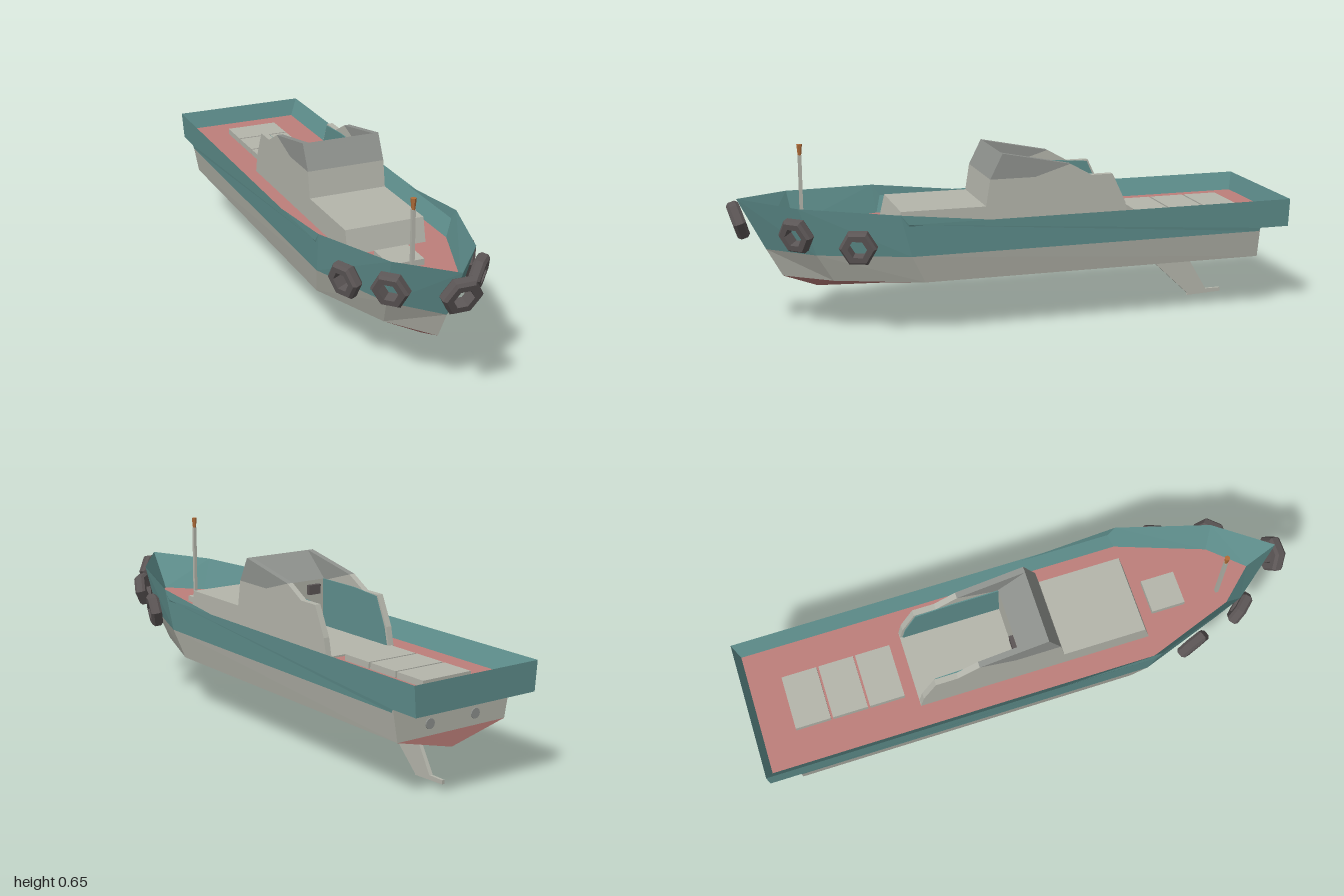
import * as THREE from 'three';

const mat = (name, color, extra = {}) => {
  const m = new THREE.MeshStandardMaterial({ color, flatShading: true, ...extra });
  m.name = name;
  return m;
};

export function createModel() {
  const boat = new THREE.Group();
  boat.name = 'boat';
  const both = { side: THREE.DoubleSide };
  const teal = mat('teal paint', 0x5f8f8d, both);
  const grey = mat('light grey paint', 0xb4b5ab, both);
  const red = mat('faded red paint', 0xbd7f7a, both);
  const glass = mat('window grey', 0x8f928e);
  const rubber = mat('dark rubber', 0x5c5656);
  const copper = mat('copper', 0xb06c38);

  const add = (name, geo, material, x = 0, y = 0, z = 0) => {
    const mesh = new THREE.Mesh(geo, material);
    mesh.name = name;
    mesh.position.set(x, y, z);
    boat.add(mesh);
    return mesh;
  };
  const box = (name, material, x0, x1, y0, y1, z0, z1) =>
    add(name, new THREE.BoxGeometry(x1 - x0, y1 - y0, z1 - z0), material,
      (x0 + x1) / 2, (y0 + y1) / 2, (z0 + z1) / 2);

  // side profile of [z, y] points, extruded from x0 to x1
  const profile = (name, material, pts, x0, x1) => {
    const shape = new THREE.Shape(pts.map(p => new THREE.Vector2(...p)));
    const geo = new THREE.ExtrudeGeometry(shape, { depth: x1 - x0, bevelEnabled: false });
    geo.rotateY(-Math.PI / 2).translate(x1, 0, 0);
    return add(name, geo, material);
  };

  // mirrored skin made of strips between pairs of lines on the +x half
  const skin = (name, material, strips) => {
    const pos = [];
    const tri = (a, b, c) => {
      pos.push(...a, ...b, ...c);
      for (const p of [a, c, b]) pos.push(-p[0], p[1], p[2]);
    };
    for (const [a, b] of strips) {
      for (let i = 0; i + 1 < a.length; i++) {
        tri(a[i], b[i], b[i + 1]);
        tri(a[i], b[i + 1], a[i + 1]);
      }
    }
    const geo = new THREE.BufferGeometry();
    geo.setAttribute('position', new THREE.Float32BufferAttribute(pos, 3));
    geo.computeVertexNormals();
    return add(name, geo, material);
  };
  const centre = line => line.map(p => [0, p[1], p[2]]);

  // hull lines from stern to stem
  const sheer = [[.255, .415, -1], [.255, .415, -.89], [.255, .415, .42],
    [.255, .45, .45], [.15, .47, .78], [0, .485, .97]];
  const belt = [[.247, .312, -1], [.247, .312, -.89], [.245, .3, -.885],
    [.245, .3, .41], [.135, .3, .72], [0, .3, .875]];
  const low = [[.245, .312, -.89], ...belt.slice(3)];
  const chine = [[.225, .2, -.89], [.225, .2, .36], [.115, .2, .66], [0, .2, .82]];
  const keel = [[0, .145, -.89], [0, .145, .46], [0, .155, .7], [0, .2, .82]];
  const deckY = .35;
  const deck = [[.225, deckY, -.98], [.225, deckY, -.89], [.225, deckY, .41],
    [.225, deckY, .44], [.11, deckY, .76], [0, deckY, .88]];

  const sternOut = [belt[0], sheer[0]];
  const sternIn = [deck[0], sheer[0]];
  const overhang = [belt[0], belt[1]];
  skin('bulwark', teal, [[belt, sheer], [sheer, deck], [sternOut, centre(sternOut)],
    [centre(sternIn), sternIn], [centre(overhang), overhang]]);
  const transom = [chine[0], low[0]];
  skin('hullSides', grey, [[chine, low], [transom, centre(transom)]]);
  const vee = [keel[0], chine[0]];
  skin('hullBottom', red, [[keel, chine], [vee, centre(vee)]]);
  skin('deck', red, [[deck, centre(deck)]]);

  // transom vents
  for (const x of [-.095, .095]) {
    const vent = add('transomVent', new THREE.CylinderGeometry(.018, .018, .006, 12), glass, x, .24, -.891);
    vent.rotation.x = Math.PI / 2;
  }

  // keel strut and foot
  profile('keelStrut', grey, [[-.56, .155], [-.72, .004], [-.79, .02], [-.71, .155]], -.011, .003);
  profile('strutFoot', grey, [[-.715, 0], [-.85, .006], [-.85, .02], [-.72, .02]], -.009, .001);

  // hatches
  for (let i = 0; i < 3; i++) {
    const z = -.86 + i * .136;
    box('aftHatch', grey, -.1, .1, deckY, .372, z, z + .128);
  }
  box('foreHatch', grey, -.07, .055, deckY, .372, .485, .61);

  // cabin with open cockpit
  const L = -.148, R = .143, t = .022;
  profile('cabinTrunk', grey, [[.445, deckY], [.425, .435], [.12, .435], [.105, .53],
    [-.04, .53], [-.04, deckY]], L, R);
  profile('windscreen', glass, [[.105, .53], [.06, .62], [-.04, .53]], L + t, R - t);
  box('cockpitFloor', grey, L, R, deckY, .356, -.415, -.04);
  for (const [x0, x1, inner] of [[L, L + t, L + t], [R - t, R, R - t - .004]]) {
    profile('cockpitWall', grey, [[-.04, deckY], [-.04, .53], [-.06, .53], [-.19, .57],
      [-.27, .525], [-.35, .525], [-.4, .42], [-.415, deckY]], x0, x1);
    profile('sideWindow', glass, [[.105, .53], [.06, .62], [-.19, .57], [-.06, .53]], x0, x1);
    profile('cockpitLining', teal, [[-.04, .357], [-.04, .53], [-.22, .53], [-.345, .52],
      [-.39, .42], [-.405, .357]], inner, inner + .004);
  }
  box('instrument', rubber, -.1, -.05, .48, .515, -.055, -.04);

  // mast and lamp
  box('mast', grey, -.063, -.051, deckY, .615, .734, .746);
  add('mastLamp', new THREE.CylinderGeometry(.01, .006, .04, 6), copper, -.057, .633, .74);

  // hexagonal tyre fenders, axle pointing along the hull normal
  const ring = [[.036, -.022], [.06, -.022], [.07, -.012], [.07, .012], [.06, .022],
    [.036, .022], [.036, -.022]].map(p => new THREE.Vector2(...p));
  const tyreGeo = new THREE.LatheGeometry(ring, 6).toNonIndexed();
  tyreGeo.rotateY(Math.PI / 6).rotateX(Math.PI / 2);
  tyreGeo.computeVertexNormals();
  const tyre = (x, y, z, yaw, pitch, scale = 1) => {
    const m = add('tyreFender', tyreGeo, rubber, x, y, z);
    m.rotation.set(pitch, yaw, 0, 'YXZ');
    m.scale.setScalar(scale);
  };
  tyre(-.002, .41, .967, 0, .3);
  for (const s of [-1, 1]) {
    tyre(s * .155, .38, .79, s * .82, .22, .94);
    tyre(s * .222, .34, .59, s * 1.2, .15, .94);
  }
  return boat;
}
